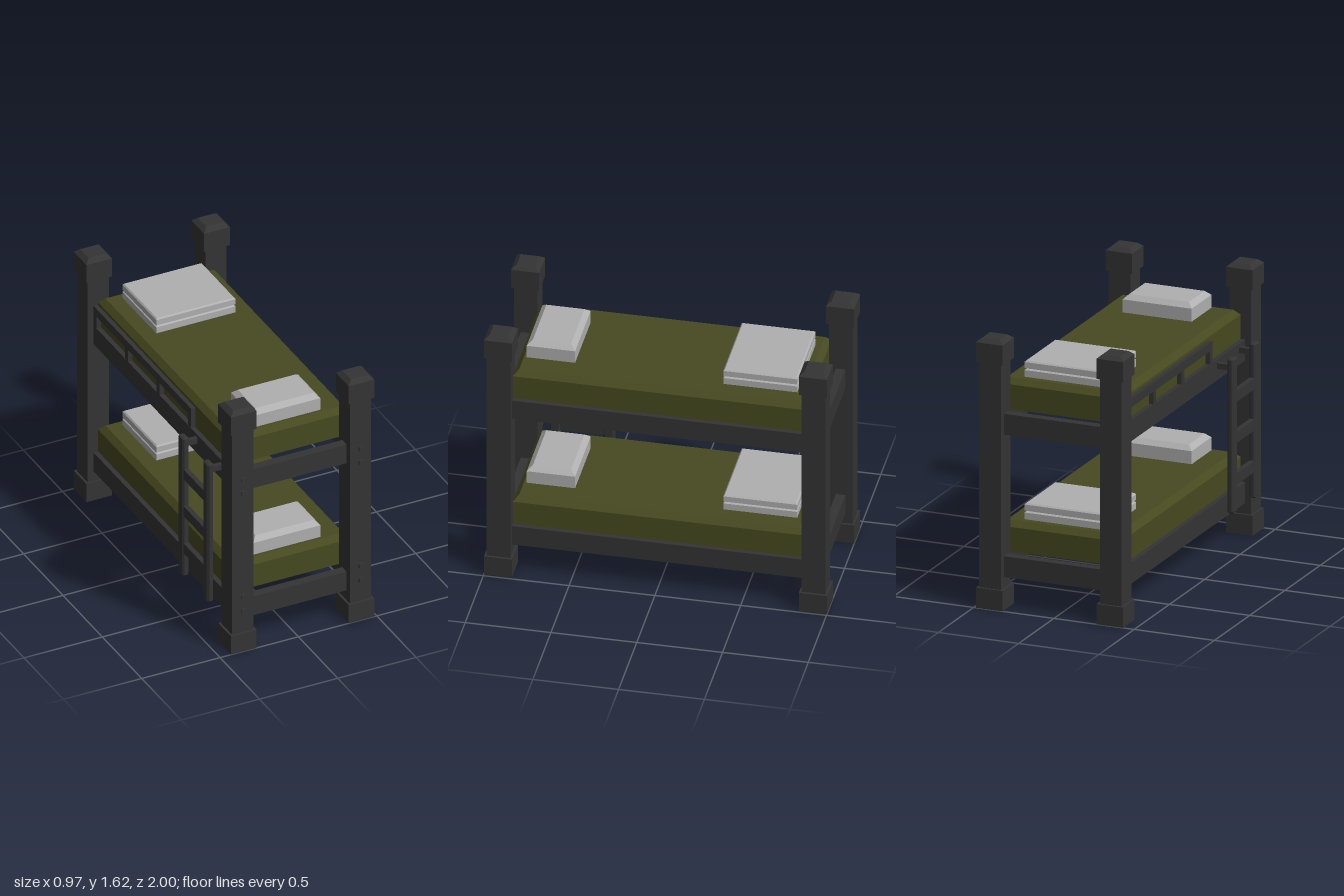
import * as THREE from 'three';

export function createModel() {
  const model = new THREE.Group();
  model.name = 'bunkBed';
  const frame = new THREE.MeshStandardMaterial({ name: 'charcoal', color: 0x343434 });
  const olive = new THREE.MeshStandardMaterial({ name: 'olive', color: 0x474a20 });
  const linen = new THREE.MeshStandardMaterial({ name: 'paleGrey', color: 0xb0b0b0 });

  const add = (parent, name, geometry, material) => {
    const mesh = new THREE.Mesh(geometry, material);
    mesh.name = name;
    parent.add(mesh);
    return mesh;
  };

  // Box given by its limits on each axis
  const box = (parent, name, material, [x0, x1], [y0, y1], [z0, z1]) => {
    const g = new THREE.BoxGeometry(x1 - x0, y1 - y0, z1 - z0);
    g.translate((x0 + x1) / 2, (y0 + y1) / 2, (z0 + z1) / 2);
    return add(parent, name, g, material);
  };

  // Box whose top edge is chamfered: inset sideways, drop downwards
  const chamferBox = (parent, name, material, [x0, x1], [y0, y1], [z0, z1], inset, drop) => {
    const w = x1 - x0, d = z1 - z0;
    const g = new THREE.BoxGeometry(w, 2, d, 1, 2, 1).toNonIndexed();
    const p = g.attributes.position;
    for (let i = 0; i < p.count; i++) {
      const y = p.getY(i);
      const s = y > 0.5 ? inset : 0;
      const h = y > 0.5 ? y1 : y < -0.5 ? y0 : y1 - drop;
      p.setXYZ(i, p.getX(i) * (1 - 2 * s / w) + (x0 + x1) / 2, h,
        p.getZ(i) * (1 - 2 * s / d) + (z0 + z1) / 2);
    }
    g.computeVertexNormals();
    return add(parent, name, g, material);
  };

  const around = (c, half) => [c - half, c + half];

  // Corner posts with feet and chamfered caps
  const postXs = [-0.348, 0.403];
  const postZ = 0.918;
  for (const x of postXs) {
    for (const z of [postZ, -postZ]) {
      const post = new THREE.Group();
      post.name = 'cornerPost';
      model.add(post);
      box(post, 'postShaft', frame, around(x, 0.068), [0.1, 1.5], around(z, 0.069));
      box(post, 'postFoot', frame, around(x, 0.082), [0, 0.122], around(z, 0.082));
      chamferBox(post, 'postCap', frame, around(x, 0.082), [1.472, 1.618], around(z, 0.082), 0.028, 0.024);
    }
    // Bolt heads on the front posts
    for (const y of [0.268, 0.363, 1.058, 1.147]) {
      box(model, 'boltHead', frame, around(x, 0.0135), around(y, 0.0135), [0.98, 0.998]);
    }
  }

  // Two identical bunks
  const buildBunk = (name, y) => {
    const bunk = new THREE.Group();
    bunk.name = name;
    bunk.position.y = y;
    model.add(bunk);
    for (const x of [-0.352, 0.402]) {
      box(bunk, 'sideRail', frame, around(x, 0.027), [0, 0.125], [-0.86, 0.86]);
    }
    for (const z of [postZ, -postZ]) {
      box(bunk, 'endRail', frame, [-0.3, 0.35], [0, 0.125], around(z, 0.028));
    }
    chamferBox(bunk, 'mattress', olive, [-0.35, 0.4], [0.124, 0.306], [-0.85, 0.85], 0.032, 0.034);
    chamferBox(bunk, 'pillow', linen, [-0.19, 0.24], [0.3, 0.412], [0.52, 0.802], 0.03, 0.028);
    // Folded blanket: two layers with a recessed crease
    chamferBox(bunk, 'blanketLower', linen, [-0.228, 0.279], [0.3, 0.352], [-0.783, -0.352], 0.008, 0.006);
    box(bunk, 'blanketCrease', linen, [-0.212, 0.263], [0.345, 0.365], [-0.768, -0.367]);
    chamferBox(bunk, 'blanketUpper', linen, [-0.228, 0.279], [0.359, 0.402], [-0.783, -0.352], 0.008, 0.008);
  };
  buildBunk('lowerBunk', 0.188);
  buildBunk('upperBunk', 1.043);

  // Guard rail along the ladder side
  const guard = new THREE.Group();
  guard.name = 'guardRail';
  model.add(guard);
  const guardX = [-0.378, -0.351];
  box(guard, 'guardBar', frame, guardX, [1.245, 1.298], [-0.86, 0.39]);
  for (const z of [0.37, -0.03, -0.43, -0.83]) {
    box(guard, 'guardUpright', frame, guardX, [1.16, 1.25], around(z, 0.02));
  }

  // Ladder hung on the side rail
  const ladder = new THREE.Group();
  ladder.name = 'ladder';
  model.add(ladder);
  const ladderX = -0.466;

  // Upright section: rectangle with cut corners, bevelled at both ends
  const bevel = 0.008, hx = 0.0125, hz = 0.0245, cut = 0.006;
  const section = new THREE.Shape([
    [hx, -hz + cut], [hx, hz - cut], [hx - cut, hz], [-hx + cut, hz],
    [-hx, hz - cut], [-hx, -hz + cut], [-hx + cut, -hz], [hx - cut, -hz],
  ].map(([x, z]) => new THREE.Vector2(x, z)));
  for (const z of [0.782, 0.468]) {
    const g = new THREE.ExtrudeGeometry(section, {
      depth: 0.928 - 2 * bevel, bevelSize: bevel, bevelThickness: bevel, bevelSegments: 1,
    });
    g.rotateX(-Math.PI / 2);
    g.translate(ladderX, 0.258 + bevel, z);
    add(ladder, 'ladderUpright', g, frame);
    const hookZ = z > 0.6 ? 0.775 : 0.461;
    box(ladder, 'ladderHook', frame, [-0.46, -0.36], [1.113, 1.148], around(hookZ, 0.014));
  }
  for (const y of [0.45, 0.7, 0.947]) {
    box(ladder, 'ladderRung', frame, around(ladderX, 0.015), around(y, 0.033), [0.468, 0.782]);
  }

  return model;
}
